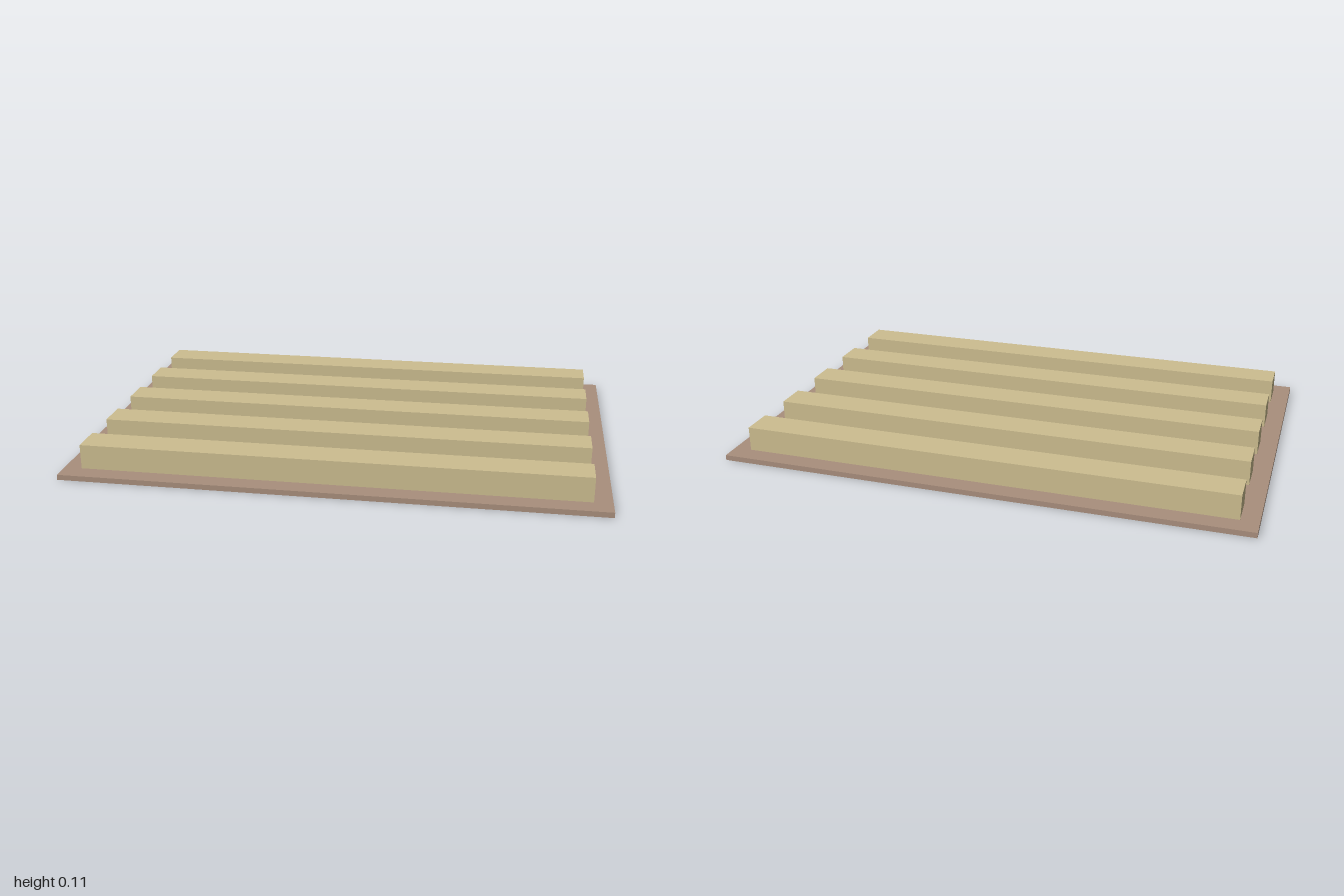
import * as THREE from 'three';

export function createModel() {
  const group = new THREE.Group();
  const baseMaterial = new THREE.MeshStandardMaterial({ color: 0xa98f7d });
  const slatMaterial = new THREE.MeshStandardMaterial({ color: 0xcdbe90 });

  // Box standing on the given height
  function addBox(name, material, [w, h, d], bottom, z) {
    const mesh = new THREE.Mesh(new THREE.BoxGeometry(w, h, d), material);
    mesh.name = name;
    mesh.position.set(0, bottom + h / 2, z);
    group.add(mesh);
  }

  // Thin base board
  addBox('baseBoard', baseMaterial, [2, 0.02, 1.333], 0, 0);

  // Five evenly spaced slats, sunk through the board to just above its underside
  const slatCount = 5;
  const spacing = 0.267;
  for (let i = 0; i < slatCount; i++) {
    const z = (i - (slatCount - 1) / 2) * spacing;
    addBox(`slat${i + 1}`, slatMaterial, [1.866, 0.112, 0.122], 0.001, z);
  }

  return group;
}
